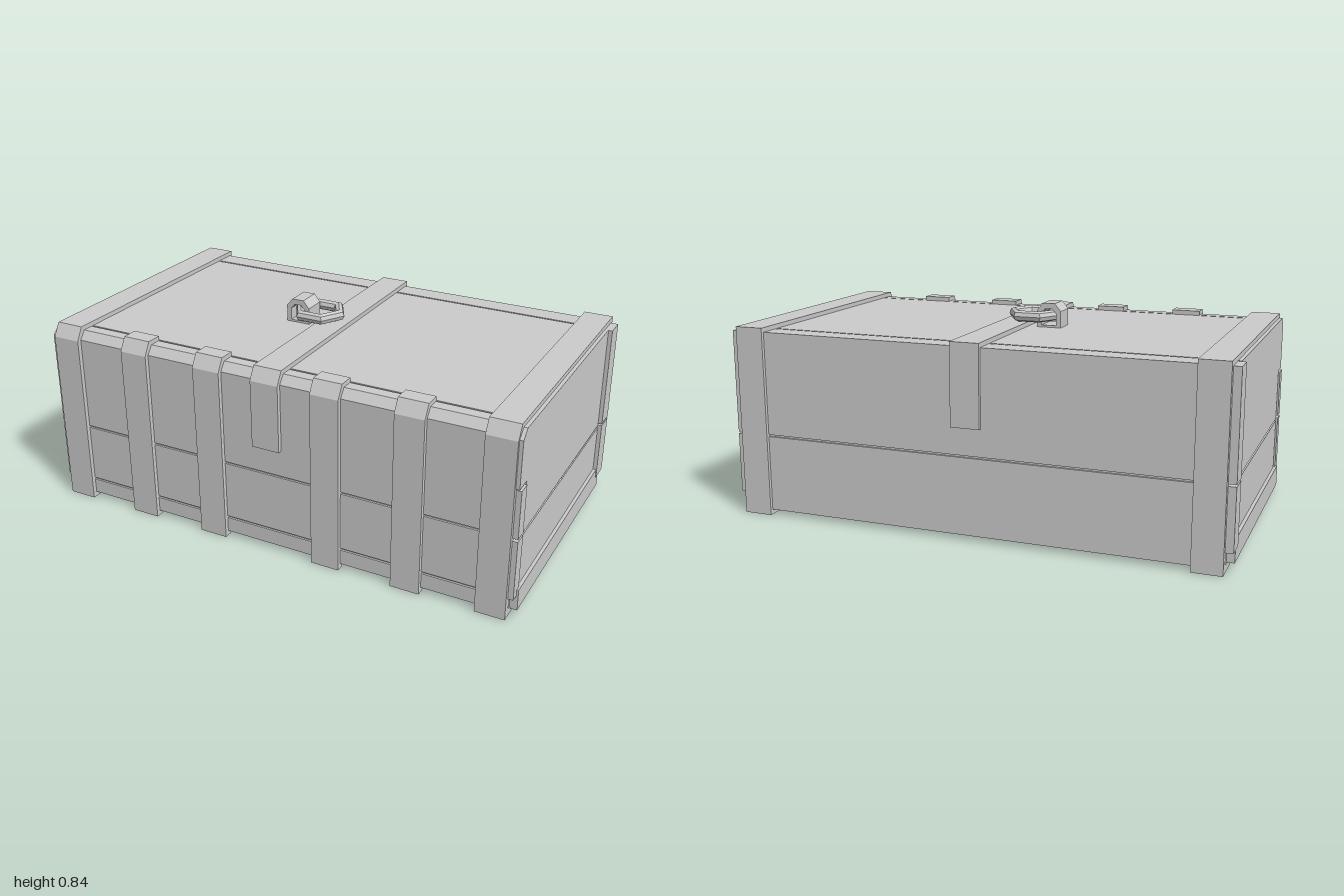
import * as THREE from 'three';

const material = new THREE.MeshStandardMaterial({ color: 0xcccccc, flatShading: true });

const toShape = (pts) => new THREE.Shape(pts.map(([z, y]) => new THREE.Vector2(z, y)));

// Extrudes a side profile of [z, y] points across x, from x0 to x1
function profileMesh(name, pts, x0, x1, hole) {
  const shape = toShape(pts);
  if (hole) shape.holes.push(toShape(hole));
  const geo = new THREE.ExtrudeGeometry(shape, { depth: x1 - x0, bevelEnabled: false });
  geo.rotateY(-Math.PI / 2).translate(x1, 0, 0);
  const mesh = new THREE.Mesh(geo, material);
  mesh.name = name;
  return mesh;
}

const rect = (z0, z1, y0, y1) => [[z0, y0], [z1, y0], [z1, y1], [z0, y1]];

export function createModel() {
  const group = new THREE.Group();
  group.name = 'chest';
  const add = (...args) => group.add(profileMesh(...args));

  // Body: chamfered front edge, with thin grooves between the boards
  const g = 0.004, d = 0.008, F = 0.542, B = -0.548, T = 0.744;
  const body = [[B, 0.02], [F, 0.02]];
  for (const y of [0.085, 0.328]) body.push([F, y - g], [F - d, y - g], [F - d, y + g], [F, y + g]);
  body.push([F, 0.71], [0.515, T]);
  for (const z of [0.465, -0.458]) body.push([z + g, T], [z + g, T - d], [z - g, T - d], [z - g, T]);
  body.push([B, T]);
  for (const y of [0.328]) body.push([B, y + g], [B + d, y + g], [B + d, y - g], [B, y - g]);
  add('body', body, -0.967, 0.967);

  // Bands wrapping all the way round near both ends
  const outer = [[-0.562, 0], [0.56, 0], [0.56, 0.71], [0.53, 0.762], [-0.562, 0.762]];
  const inner = [[-0.53, 0.03], [0.53, 0.03], [0.53, 0.7], [0.51, 0.73], [-0.53, 0.73]];
  for (const s of [-1, 1]) add('endBand', outer, s * 0.912 - 0.058, s * 0.912 + 0.058, inner);

  // Front straps hooked over the top edge
  const strap = [[0.525, 0], [0.56, 0], [0.56, 0.71], [0.53, 0.762], [0.465, 0.762],
    [0.465, 0.735], [0.51, 0.735], [0.525, 0.7]];
  for (const x of [-0.585, -0.253, 0.248, 0.58]) add('frontStrap', strap, x - 0.058, x + 0.058);

  // Centre strap over the lid, hanging down front and back
  add('centreStrap', [[0.53, 0.44], [0.56, 0.44], [0.56, 0.71], [0.53, 0.762], [-0.562, 0.762],
    [-0.562, 0.44], [-0.535, 0.44], [-0.535, 0.735], [0.51, 0.735], [0.53, 0.7]], -0.058, 0.058);

  // Boards, posts and skirting on both ends
  const endParts = [
    ['upperEndBoard', [[-0.455, 0.32], [0.48, 0.32], [0.48, 0.527], [0.55, 0.527],
      [0.55, 0.712], [0.515, 0.744], [-0.455, 0.744]], 0.984],
    ['lowerEndBoard', rect(-0.455, 0.48, 0.1, 0.31), 0.984],
    ['endSkirting', [[-0.49, 0.027], [0.51, 0.02], [0.51, 0.105], [-0.455, 0.115], [-0.49, 0.115]], 0.997],
    ['lowerFrontPost', rect(0.49, 0.543, 0.08, 0.32), 0.99],
    ['upperFrontPost', rect(0.49, 0.543, 0.33, 0.52), 0.99],
    ['lowerBackPost', rect(-0.54, -0.455, 0.08, 0.322), 1],
    ['upperBackPost', rect(-0.54, -0.455, 0.33, 0.742), 1],
  ];
  for (const [name, pts, x] of endParts) {
    add(name, pts, 0.95, x);
    add(name, pts, -x, -0.95);
  }

  // Hexagonal pull ring lying on the lid
  const ringGeo = new THREE.TorusGeometry(0.088, 0.022, 8, 6).rotateX(Math.PI / 2);
  const ring = new THREE.Mesh(ringGeo, material);
  ring.name = 'pullRing';
  ring.position.set(-0.07, 0.788, 0);
  group.add(ring);

  // Arched staple holding the ring
  const arch = (r, top) => [[-r, 0], [r, 0], [r, top - r * 0.6], [r * 0.5, top], [-r * 0.5, top], [-r, top - r * 0.6]];
  const staple = toShape(arch(0.05, 0.1));
  staple.holes.push(toShape(arch(0.03, 0.078).map(([x, y]) => [x, Math.max(y, 0.012)])));
  const stapleGeo = new THREE.ExtrudeGeometry(staple, { depth: 0.094, bevelEnabled: false });
  const stapleMesh = new THREE.Mesh(stapleGeo, material);
  stapleMesh.name = 'ringStaple';
  stapleMesh.position.set(-0.145, 0.74, -0.047);
  group.add(stapleMesh);

  return group;
}
